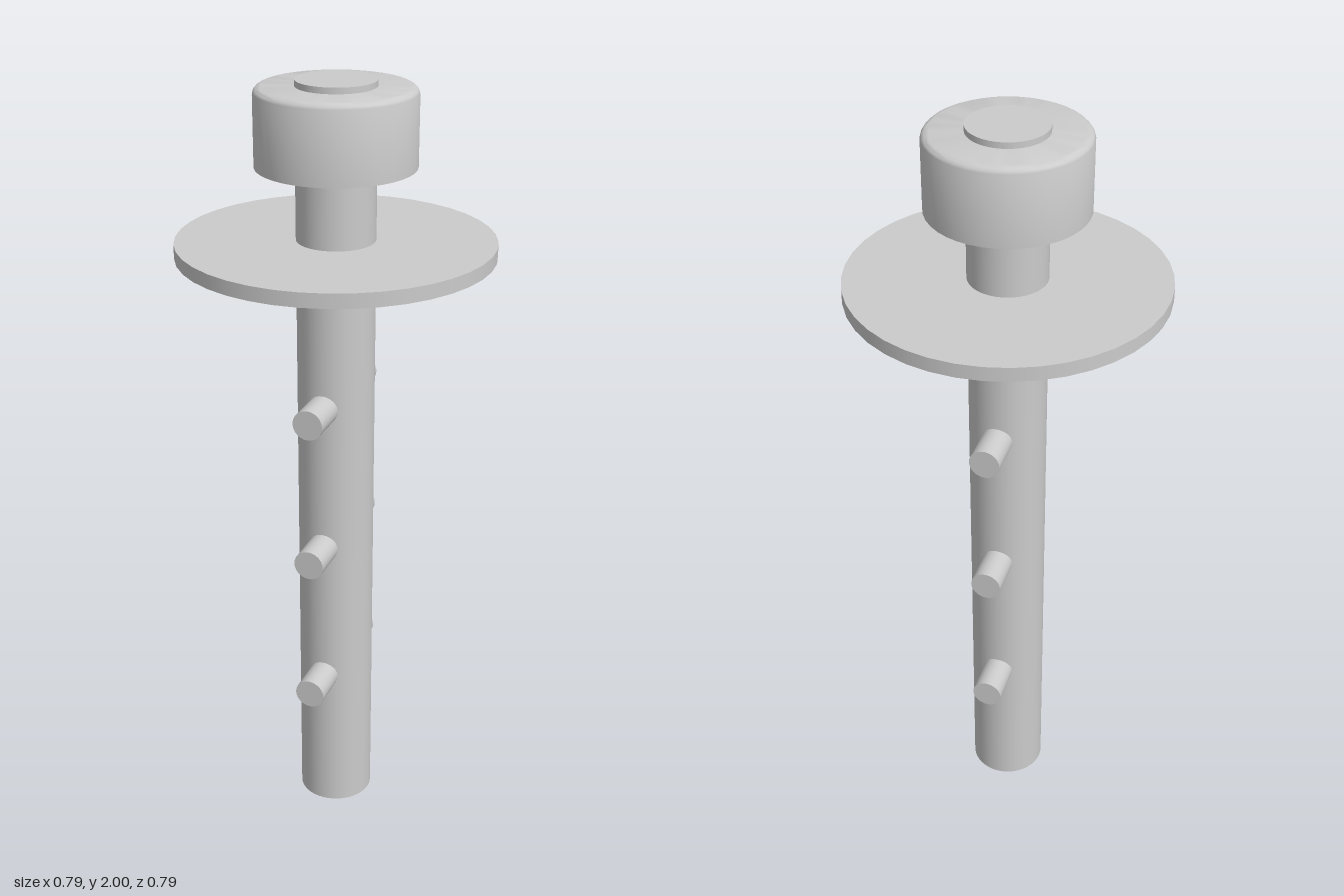
import * as THREE from 'three';
import { toCreasedNormals } from 'three/addons/utils/BufferGeometryUtils.js';

const SIDES = 40;
const SHAFT_R = 0.098;

export function createModel() {
  const model = new THREE.Group();
  model.name = 'peggedRod';
  const grey = new THREE.MeshStandardMaterial({ color: 0xcccccc });

  const add = (name, geometry, y, z = 0) => {
    const mesh = new THREE.Mesh(geometry, grey);
    mesh.name = name;
    mesh.position.set(0, y, z);
    model.add(mesh);
    return mesh;
  };

  // Central shaft, running through the collar and cap
  add('shaft', new THREE.CylinderGeometry(SHAFT_R, SHAFT_R, 2, SIDES), 1);

  // Thin round guard plate
  add('guardDisc', new THREE.CylinderGeometry(0.393, 0.393, 0.036, SIDES), 1.597);

  // Cap: sharp lower edge, rounded upper edge
  const capR = 0.196, capH = 0.19, round = 0.02;
  const profile = [new THREE.Vector2(0, 0), new THREE.Vector2(capR, 0)];
  for (let i = 0; i <= 5; i++) {
    const a = (i / 5) * Math.PI / 2;
    profile.push(new THREE.Vector2(
      capR - round + round * Math.cos(a),
      capH - round + round * Math.sin(a)
    ));
  }
  profile.push(new THREE.Vector2(0, capH));
  add('cap', toCreasedNormals(new THREE.LatheGeometry(profile, SIDES), 0.6), 1.795);

  // Three pairs of pegs, front and back
  const pegIn = 0.08, pegOut = 0.196;
  const pegGeometry = new THREE.CylinderGeometry(0.039, 0.039, pegOut - pegIn, 24);
  pegGeometry.rotateX(Math.PI / 2);
  for (const y of [0.415, 0.808, 1.2]) {
    for (const side of [1, -1]) {
      add(side > 0 ? 'frontPeg' : 'backPeg', pegGeometry, y, side * (pegIn + pegOut) / 2);
    }
  }

  return model;
}
